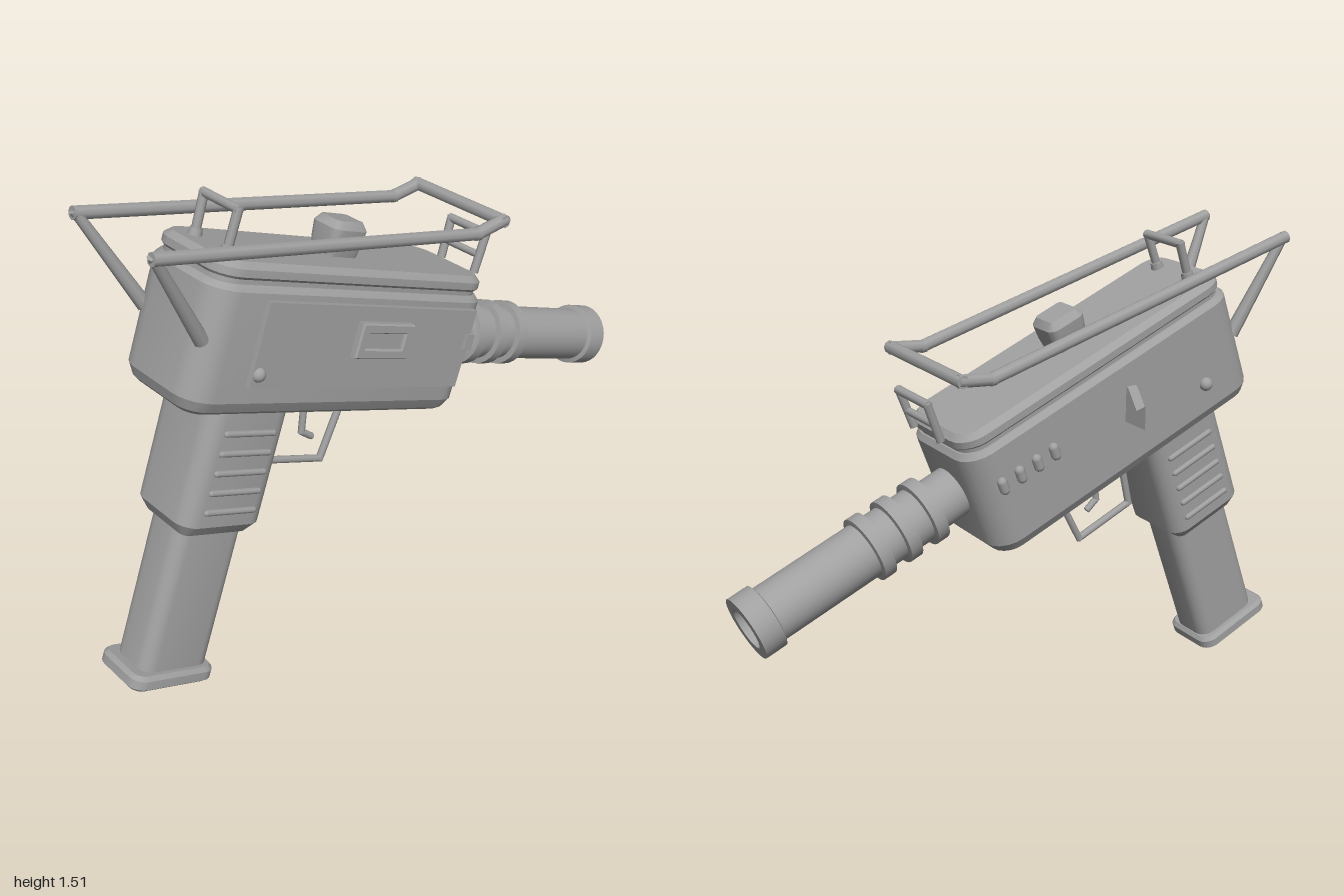
import * as THREE from 'three';
import { toCreasedNormals } from 'three/addons/utils/BufferGeometryUtils.js';

const CX = 0.02; // centre plane of the main parts
const TILT = -Math.PI / 9;

export function createModel() {
  const steel = new THREE.MeshStandardMaterial({ color: 0xa0a0a0 });
  steel.name = 'steel grey';
  const root = new THREE.Group();
  root.name = 'compactGun';
  const gun = new THREE.Group();
  gun.name = 'tiltedAssembly';
  gun.rotation.x = TILT;
  root.add(gun);

  const add = (name, geo, parent = gun) => {
    const m = new THREE.Mesh(geo, steel);
    m.name = name;
    parent.add(m);
    return m;
  };

  // Rounded-rectangle block stacked from sections [y, inset]
  function block(x0, x1, z0, z1, radius, sections) {
    const cx = (x0 + x1) / 2, cz = (z0 + z1) / 2, n = 6;
    const loops = sections.map(([y, inset]) => {
      const hx = (x1 - x0) / 2 - inset, hz = (z1 - z0) / 2 - inset;
      const r = Math.max(radius - inset, 0.006), pts = [];
      [[1, 1], [-1, 1], [-1, -1], [1, -1]].forEach(([sx, sz], q) => {
        for (let i = 0; i < n; i++) {
          const a = (q + i / (n - 1)) * Math.PI / 2;
          pts.push([cx + sx * (hx - r) + r * Math.cos(a), y, cz + sz * (hz - r) + r * Math.sin(a)]);
        }
      });
      return pts;
    });
    const v = [], last = loops.length - 1, count = n * 4;
    for (let i = 0; i < count; i++) {
      const j = (i + 1) % count;
      for (let k = 0; k < last; k++) {
        const a = loops[k], b = loops[k + 1];
        v.push(...a[i], ...b[i], ...a[j], ...a[j], ...b[i], ...b[j]);
      }
      v.push(cx, sections[0][0], cz, ...loops[0][i], ...loops[0][j]);
      v.push(cx, sections[last][0], cz, ...loops[last][j], ...loops[last][i]);
    }
    const g = new THREE.BufferGeometry();
    g.setAttribute('position', new THREE.Float32BufferAttribute(v, 3));
    return toCreasedNormals(g, 0.45);
  }

  // Straight rod between two points
  function rod(name, a, b, r, parent = gun, r2 = r, sides = 8) {
    const p = new THREE.Vector3(...a), q = new THREE.Vector3(...b);
    const d = q.clone().sub(p);
    const g = new THREE.CylinderGeometry(r2, r, d.length() + r, sides);
    const m = add(name, g, parent);
    m.position.copy(p).add(q).multiplyScalar(0.5);
    m.quaternion.setFromUnitVectors(new THREE.Vector3(0, 1, 0), d.normalize());
    return m;
  }
  const chain = (name, pts, r, parent) =>
    pts.slice(1).forEach((p, i) => rod(name, pts[i], p, r, parent));

  const box = (name, w, h, d, x, y, z) => {
    const m = add(name, new THREE.BoxGeometry(w, h, d));
    m.position.set(x, y, z);
    return m;
  };

  // Receiver with a grooved top cover
  add('receiver', block(-0.16, 0.2, 0.04, 1.105, 0.085,
    [[0.66, 0.035], [0.672, 0.018], [0.705, 0], [1.025, 0], [1.042, 0.015]]));
  add('coverGroove', block(-0.14, 0.18, 0.06, 1.085, 0.07, [[1.03, 0], [1.065, 0]]));
  add('topCover', block(-0.15, 0.19, 0.05, 1.095, 0.08,
    [[1.055, 0.008], [1.063, 0], [1.085, 0], [1.102, 0.02]]));
  add('cockingKnob', block(-0.042, 0.08, 0.5, 0.635, 0.03,
    [[1.09, 0.015], [1.14, 0.004], [1.185, 0], [1.208, 0.018]]));

  // Grip, ribs and magazine
  add('grip', block(-0.112, 0.152, 0.68, 0.975, 0.055, [[0.262, 0.03], [0.3, 0], [0.67, 0]]));
  for (const side of [-1, 1])
    for (let i = 0; i < 5; i++) {
      const rib = add('gripRib', new THREE.CapsuleGeometry(0.01, 0.17, 3, 8));
      rib.rotation.x = Math.PI / 2;
      rib.position.set(CX + side * 0.132, 0.592 - i * 0.061, 0.823);
    }
  add('magazine', block(-0.062, 0.102, 0.7, 0.945, 0.045, [[-0.21, 0], [0.28, 0]]));
  add('magazineBase', block(-0.087, 0.127, 0.685, 0.982, 0.045,
    [[-0.25, 0.012], [-0.24, 0], [-0.212, 0], [-0.2, 0.012]]));

  // Barrel with three rings, muzzle collar and bore
  const profile = [[0.082, -0.08], [0.082, 0.05]];
  for (const h of [0.075, 0.175, 0.272])
    profile.push([0.088, h - 0.022], [0.106, h - 0.02], [0.106, h + 0.02], [0.088, h + 0.022]);
  profile.push([0.088, 0.635], [0.102, 0.64], [0.102, 0.71], [0.066, 0.71], [0.06, 0.56], [0, 0.56]);
  const barrelGeo = new THREE.LatheGeometry(profile.map(p => new THREE.Vector2(...p)), 32);
  const barrel = add('barrel', toCreasedNormals(barrelGeo, 0.5));
  barrel.rotation.x = -Math.PI / 2;
  barrel.position.set(CX, 0.87, 0);

  // Trigger and its guard
  chain('triggerGuard', [[CX, 0.66, 0.641], [CX, 0.44, 0.614], [CX, 0.437, 0.396], [CX, 0.66, 0.368]], 0.012);
  chain('trigger', [[CX, 0.66, 0.53], [CX, 0.53, 0.502], [CX, 0.515, 0.46]], 0.011);

  // Front and rear sights
  for (const [name, z] of [['rearSight', 1.02], ['frontSight', 0.03]]) {
    const l = CX - 0.075, r = CX + 0.075;
    chain(name, [[l, 1.1, z], [l - 0.004, 1.222, z], [r + 0.004, 1.222, z], [r, 1.1, z]], 0.014);
  }
  rod('frontSightBar', [CX - 0.075, 1.15, 0.03], [CX + 0.075, 1.15, 0.03], 0.012);
  for (const s of [-1, 1]) {
    const foot = add('sightFoot', new THREE.CylinderGeometry(0.018, 0.022, 0.03, 12));
    foot.position.set(CX + s * 0.075, 1.108, 1.02);
  }

  // Side door with raised frame, latch and pins
  box('sideDoor', 0.022, 0.25, 0.825, 0.208, 0.882, 0.518);
  const frameShape = new THREE.Shape();
  frameShape.moveTo(-0.1, -0.05).lineTo(0.1, -0.05).lineTo(0.1, 0.05).lineTo(-0.1, 0.05);
  const opening = new THREE.Path();
  opening.moveTo(-0.077, -0.028).lineTo(-0.077, 0.028).lineTo(0.077, 0.028).lineTo(0.077, -0.028);
  frameShape.holes.push(opening);
  const frame = add('doorFrame', new THREE.ExtrudeGeometry(frameShape,
    { depth: 0.02, bevelThickness: 0.006, bevelSize: 0.004, bevelSegments: 1 }));
  frame.rotation.y = Math.PI / 2;
  frame.position.set(0.218, 0.909, 0.484);
  box('doorInset', 0.012, 0.058, 0.156, 0.224, 0.909, 0.484);
  box('doorLatch', 0.05, 0.05, 0.032, 0.205, 0.907, 0.112);
  for (const x of [0.215, -0.165]) {
    const pin = add('sidePin', new THREE.SphereGeometry(0.022, 16, 10));
    pin.position.set(x, 0.798, 0.908);
  }

  // Left side: row of studs and selector lever
  for (let i = 0; i < 4; i++) {
    const stud = add('sideStud', new THREE.CapsuleGeometry(0.016, 0.028, 4, 10));
    stud.position.set(-0.164, 0.91, 0.12 + i * 0.066);
  }
  const leverShape = new THREE.Shape();
  leverShape.moveTo(-0.255, -0.05).lineTo(-0.15, -0.05).lineTo(-0.15, 0.065)
    .lineTo(-0.17, 0.06).lineTo(-0.212, 0).lineTo(-0.255, 0.028);
  const lever = add('selectorLever', new THREE.ExtrudeGeometry(leverShape, { depth: 0.035, bevelEnabled: false }), root);
  lever.position.set(0, 1.05, 0.26);

  // Folding wire stock over the receiver
  const stock = new THREE.Group();
  stock.name = 'wireStock';
  root.add(stock);
  for (const s of [-1, 1]) {
    const x = CX + s * 0.19;
    chain('stockArm', [[x, 1.493, 0.875], [x, 1.238, -0.24], [x, 1.252, -0.345]], 0.02, stock);
    rod('stockLeg', [CX + s * 0.14, 1.2, 0.725], [CX + s * 0.186, 1.492, 0.875], 0.023, stock, 0.015);
  }
  rod('stockCrossbar', [CX - 0.195, 1.252, -0.345], [CX + 0.195, 1.252, -0.345], 0.02, stock);

  return root;
}
